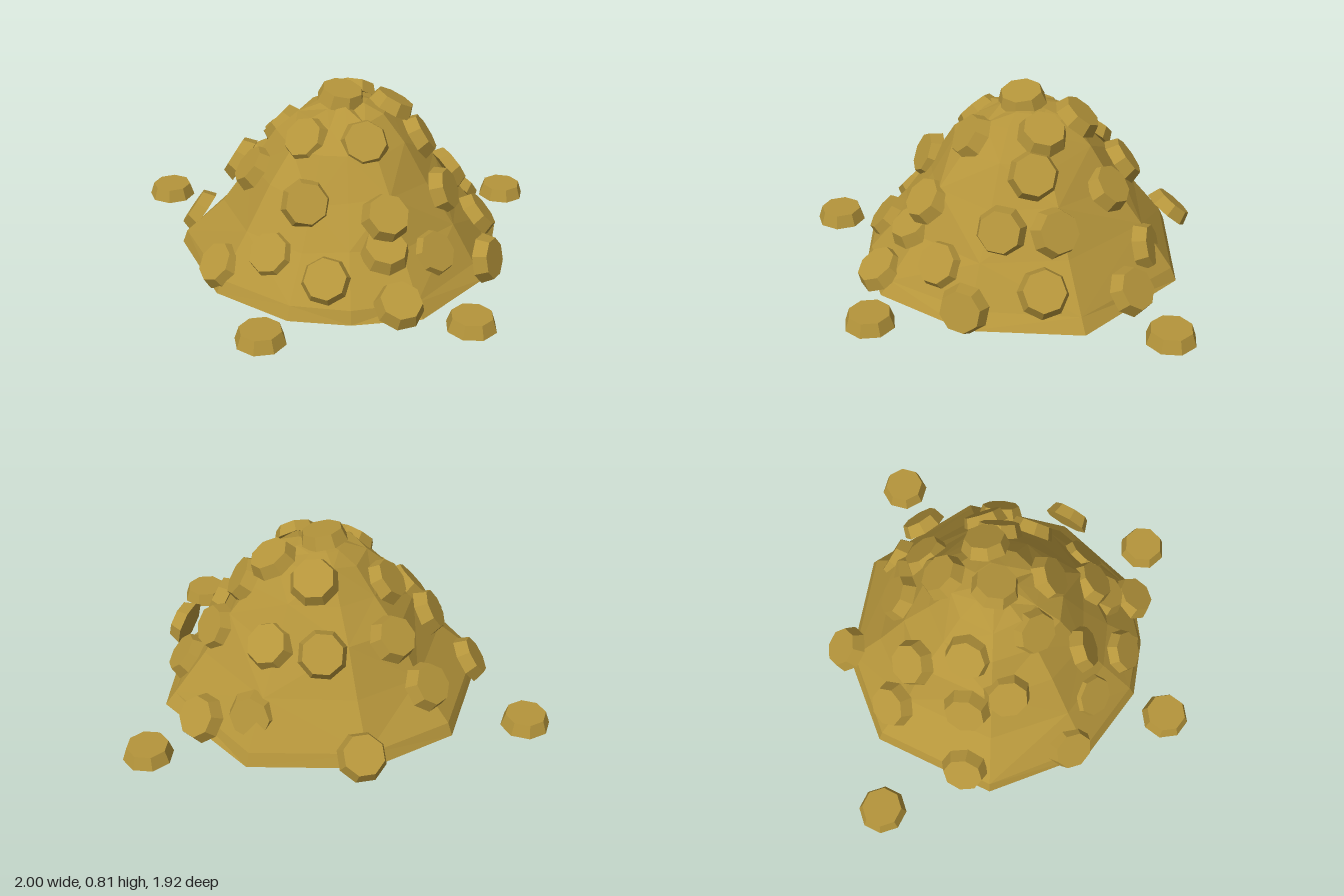
import * as THREE from 'three';

const gold = new THREE.MeshStandardMaterial({ color: 0xb5953b, flatShading: true });
gold.name = 'gold';

// Mound centre and irregular base outline as [x, z]
const CX = 0.1, CZ = -0.06;
const OUTLINE = [
  [0.82, -0.02], [0.68, 0.42], [0.42, 0.59], [0.16, 0.67], [-0.22, 0.60], [-0.59, 0.26],
  [-0.60, -0.33], [-0.31, -0.65], [0.20, -0.80], [0.71, -0.51],
];
// Mound profile as [height, fraction of the base outline]
const PROFILE = [[0, 1], [0.06, 0.945], [0.24, 0.755], [0.42, 0.58], [0.58, 0.42], [0.69, 0.27], [0.73, 0.14]];

// Resting coins as [x, y, z, upward part of the normal, optional turn about the vertical]
const COINS = [
  [0.09, 0.76, -0.05, 0.98], [0.05, 0.68, -0.30, 0.78], [0.28, 0.695, -0.20, 0.88],
  [0.42, 0.56, -0.20, 0.55], [0.02, 0.62, 0.18, 0.65], [0.28, 0.63, 0.13, 0.6, -0.2],
  [-0.21, 0.57, -0.04, 0.65], [-0.25, 0.43, 0.18, 0.65], [-0.39, 0.39, 0.04, 0.5],
  [-0.31, 0.44, -0.28, 0.7], [-0.48, 0.24, -0.31, 0.65], [-0.05, 0.44, -0.49, 0.6],
  [0.20, 0.43, -0.48, 0.7], [0.52, 0.36, -0.33, 0.5, 0.25], [0.58, 0.36, -0.10, 0.4],
  [0.68, 0.16, -0.32, 0.65], [0.83, 0.11, -0.01, 0.25], [0.63, 0.18, 0.16, 0.6],
  [0.45, 0.38, 0.28, 0.7], [0.12, 0.42, 0.39, 0.45, 0.5], [0.47, 0.25, 0.34, 0.88],
  [0.00, 0.20, 0.50, 0.65], [0.28, 0.16, 0.54, 0.65], [0.59, 0.08, 0.46, 0.85],
  [-0.25, 0.10, 0.52, 0.65], [-0.58, 0.11, 0.12, 0.55], [-0.29, 0.09, -0.68, 0.75],
  [0.22, 0.17, -0.66, 0.3, 0.2], [0.47, 0.10, -0.66, 0.6, 0.1],
];
const LOOSE = [[-0.895, -0.15], [0.635, -0.855], [0.885, 0.385], [0.125, 0.85]];

function makeRandom(seed) {
  return () => (seed = (seed * 16807) % 2147483647) / 2147483647;
}

// Faceted heap lofted from shrinking, slightly uneven outlines
function moundGeometry() {
  const random = makeRandom(41);
  const n = OUTLINE.length;
  const pos = [], index = [];
  PROFILE.forEach(([y, f], r) => {
    for (const [x, z] of OUTLINE) {
      const k = r ? f * (0.97 + random() * 0.06) : f;
      const dy = r > 1 ? (random() - 0.5) * 0.04 : 0;
      pos.push(CX + (x - CX) * k, y + dy, CZ + (z - CZ) * k);
    }
  });
  const top = PROFILE.length * n, bottom = top + 1, last = top - n;
  pos.push(CX, 0.75, CZ, CX, 0, CZ);
  for (let i = 0; i < n; i++) {
    const j = (i + 1) % n;
    for (let r = 0; r < PROFILE.length - 1; r++) {
      const a = r * n + i, b = r * n + j, c = a + n, d = b + n;
      if ((i + r) % 2) index.push(a, c, b, b, c, d);
      else index.push(a, c, d, a, d, b);
    }
    index.push(top, last + j, last + i, bottom, i, j);
  }
  const geo = new THREE.BufferGeometry();
  geo.setAttribute('position', new THREE.Float32BufferAttribute(pos, 3));
  geo.setIndex(index);
  const flat = geo.toNonIndexed();
  flat.computeVertexNormals();
  return flat;
}

export function createModel() {
  const model = new THREE.Group();
  model.name = 'coinPile';

  const mound = new THREE.Mesh(moundGeometry(), gold);
  mound.name = 'mound';
  model.add(mound);

  // Eight-sided bevelled coin
  const coinGeo = new THREE.CylinderGeometry(0.092, 0.112, 0.06, 8);
  const up = new THREE.Vector3(0, 1, 0);
  const addCoin = (name, position, normal, spin) => {
    const coin = new THREE.Mesh(coinGeo, gold);
    coin.name = name;
    coin.position.copy(position);
    coin.quaternion.setFromUnitVectors(up, normal);
    coin.rotateY(spin);
    model.add(coin);
  };

  // Coins lying against the slope, facing away from the heap's centre
  COINS.forEach(([x, y, z, ny, turn = 0], i) => {
    const out = new THREE.Vector3(x - CX + (i ? 0 : 0.05), 0, z - CZ).normalize().applyAxisAngle(up, turn);
    const normal = out.multiplyScalar(Math.sqrt(1 - ny * ny)).setY(ny);
    addCoin('pileCoin' + (i + 1), new THREE.Vector3(x, y, z), normal, i * 0.7);
  });

  // Coins fallen flat around the heap
  LOOSE.forEach(([x, z], i) => {
    addCoin('looseCoin' + (i + 1), new THREE.Vector3(x, 0.03, z), up, Math.PI / 8 + i * 0.2);
  });

  return model;
}
